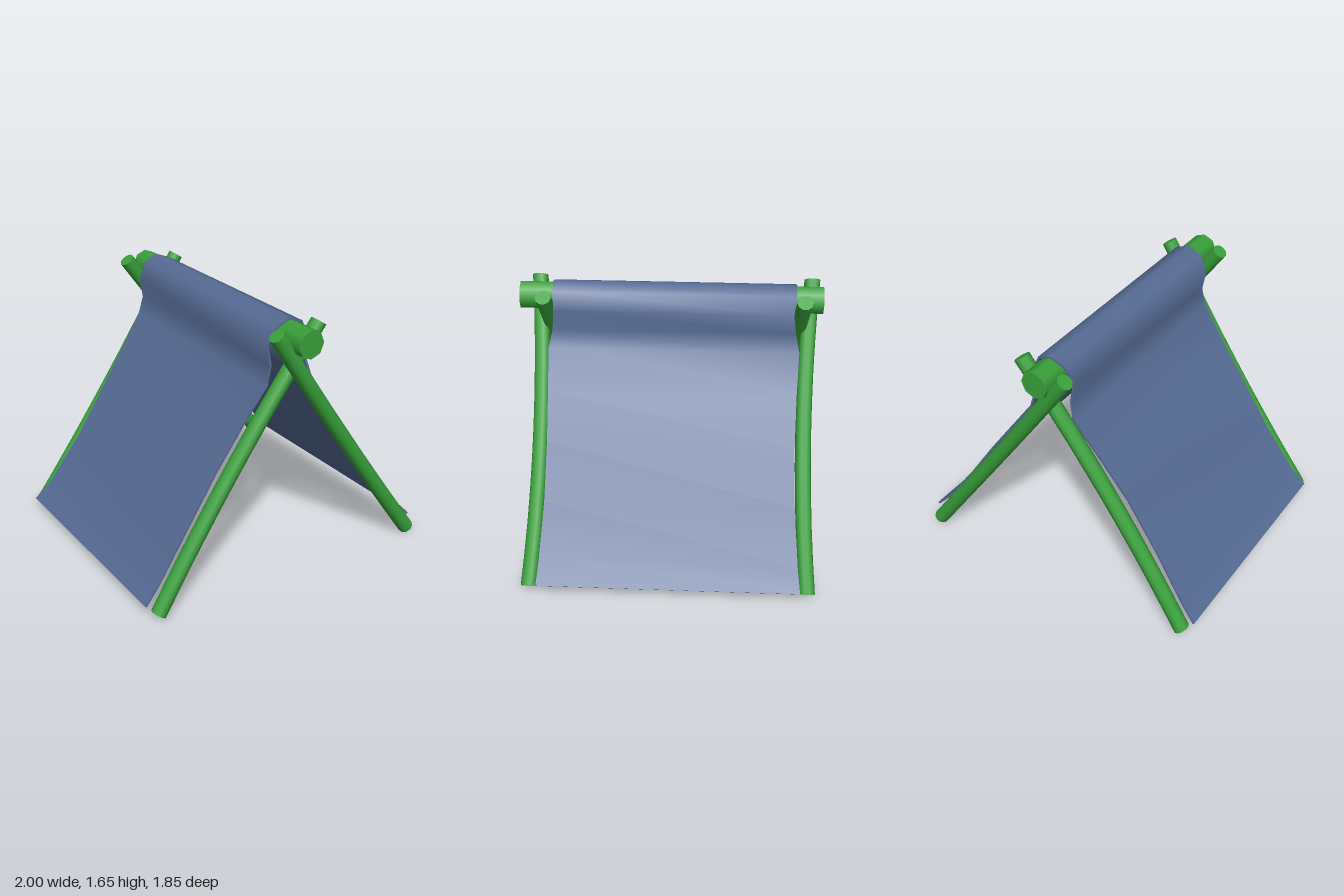
import * as THREE from 'three';

const wood = new THREE.MeshStandardMaterial({ color: 0x38a03a });
const fabric = new THREE.MeshStandardMaterial({ color: 0x566b94 });

// Leaning pole running from its foot on one side (side = +1 / -1) past the ridge,
// bowed along z by the given amount
function makePole(name, side, z, bow) {
  const foot = new THREE.Vector2(side * 0.93, 0.028);
  const tip = new THREE.Vector2(side * -0.172, 1.612);
  const d = tip.clone().sub(foot);
  const length = d.length();
  const geo = new THREE.CylinderGeometry(0.049, 0.049, length, 10, 10);
  const p = geo.attributes.position;
  for (let i = 0; i < p.count; i++) {
    const t = p.getY(i) / (length / 2);
    p.setZ(i, p.getZ(i) + bow * (1 - t * t));
  }
  geo.rotateZ(Math.atan2(-d.x, d.y));
  geo.translate((foot.x + tip.x) / 2, (foot.y + tip.y) / 2, z);
  const mesh = new THREE.Mesh(geo, wood);
  mesh.name = name;
  return mesh;
}

// Draped sheet: a thin closed strip following rows of [x, y, front z, back z]
function makeCloth(rows, thickness) {
  const h = thickness / 2;
  const rings = rows.map(([x, y, zf, zb], i) => {
    const a = rows[Math.max(i - 1, 0)];
    const b = rows[Math.min(i + 1, rows.length - 1)];
    const n = new THREE.Vector2(a[1] - b[1], b[0] - a[0]).normalize().multiplyScalar(h);
    return [
      [x + n.x, y + n.y, zf], [x + n.x, y + n.y, zb],
      [x - n.x, y - n.y, zb], [x - n.x, y - n.y, zf],
    ];
  });
  const pos = [];
  const index = [];
  // Outer face, back edge, inner face, front edge: each smooth along its length
  for (let j = 0; j < 4; j++) {
    const start = pos.length / 3;
    rings.forEach((r) => pos.push(...r[j], ...r[(j + 1) % 4]));
    for (let i = 0; i < rings.length - 1; i++) {
      const k = start + i * 2;
      index.push(k, k + 2, k + 3, k, k + 3, k + 1);
    }
  }
  // Hems
  for (const ring of [rings[0], [...rings[rings.length - 1]].reverse()]) {
    const k = pos.length / 3;
    ring.forEach((v) => pos.push(...v));
    index.push(k, k + 1, k + 2, k, k + 2, k + 3);
  }
  const geo = new THREE.BufferGeometry();
  geo.setAttribute('position', new THREE.Float32BufferAttribute(pos, 3));
  geo.setIndex(index);
  geo.computeVertexNormals();
  return geo;
}

export function createModel() {
  const model = new THREE.Group();
  model.name = 'tent';

  // Ridge pole along z
  const ridge = new THREE.Mesh(new THREE.CylinderGeometry(0.087, 0.087, 1.85, 8), wood);
  ridge.name = 'ridgePole';
  ridge.rotation.x = Math.PI / 2;
  ridge.position.set(0, 1.553, 0);
  model.add(ridge);

  // Crossed poles at both ends
  model.add(
    makePole('frontLeftPole', 1, 0.83, -0.04),
    makePole('frontRightPole', -1, 0.765, -0.035),
    makePole('backLeftPole', 1, -0.867, 0.04),
    makePole('backRightPole', -1, -0.805, 0.035),
  );

  // Cover hanging over the ridge, its ends pulled in between the poles
  const rows = [
    [-0.993, 0.078, 0.73, -0.775],
    [-0.885, 0.19, 0.71, -0.75],
    [-0.68, 0.48, 0.692, -0.72],
    [-0.48, 0.785, 0.688, -0.718],
    [-0.3, 1.04, 0.693, -0.74],
    [-0.143, 1.262, 0.71, -0.765],
    [-0.117, 1.38, 0.705, -0.75],
    [-0.14, 1.51, 0.705, -0.745],
    [-0.085, 1.612, 0.718, -0.76],
    [0, 1.645, 0.722, -0.764],
    [0.085, 1.612, 0.718, -0.76],
    [0.14, 1.51, 0.71, -0.745],
    [0.117, 1.38, 0.725, -0.765],
    [0.143, 1.262, 0.753, -0.79],
    [0.3, 1.04, 0.746, -0.778],
    [0.48, 0.785, 0.74, -0.772],
    [0.68, 0.48, 0.745, -0.78],
    [0.885, 0.19, 0.765, -0.805],
    [0.993, 0.078, 0.775, -0.82],
  ];
  const cloth = new THREE.Mesh(makeCloth(rows, 0.014), fabric);
  cloth.name = 'cover';
  model.add(cloth);

  return model;
}
